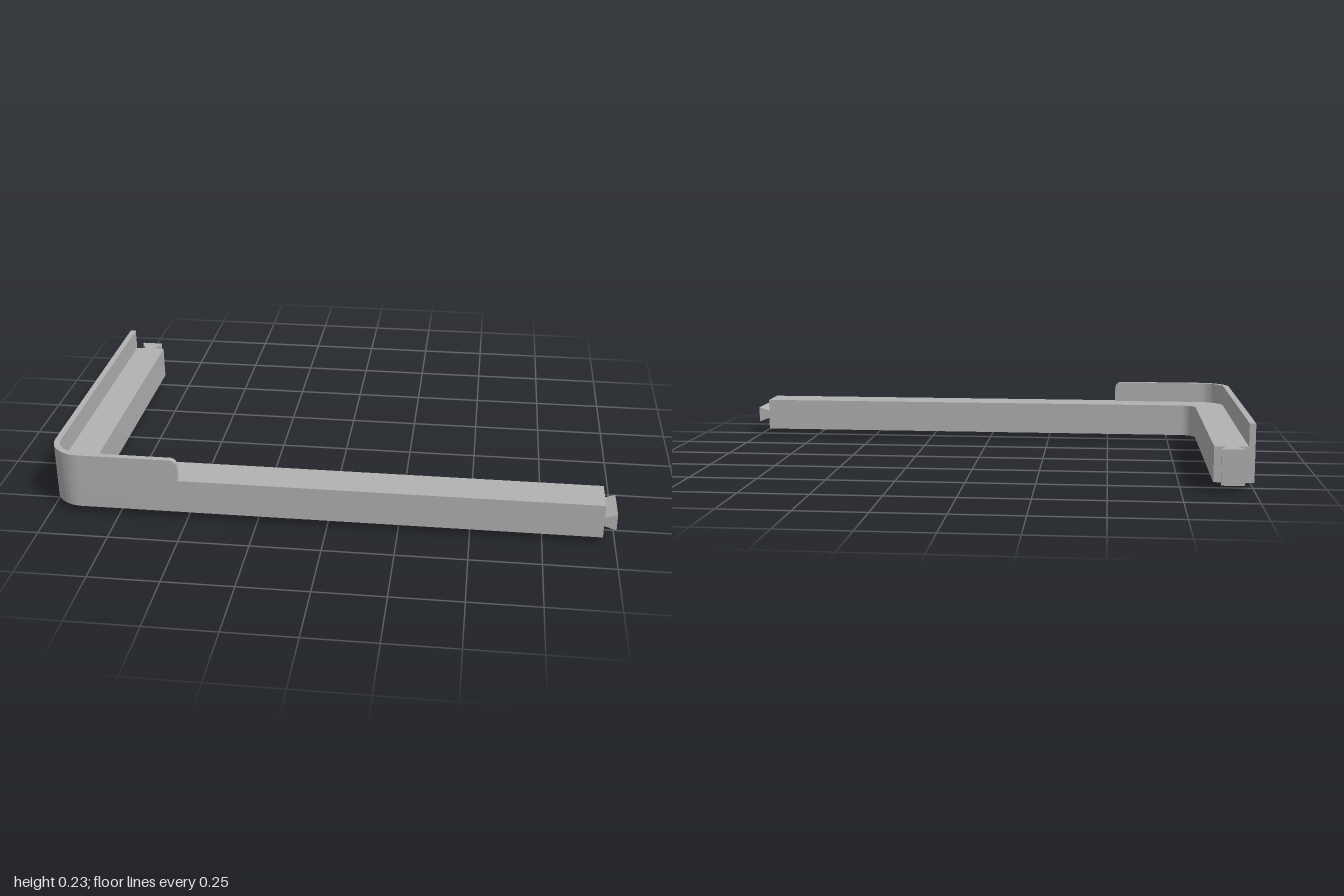
import * as THREE from 'three';
import { toCreasedNormals } from 'three/addons/utils/BufferGeometryUtils.js';

const BOTTOM = 0.027, TOP = 0.152, RIM = 0.232; // heights of rail and rim
const OUT_X = -1, OUT_Z = 0.597, BACK = -0.539, END = 0.957;
const WIDTH = 0.139, WALL = 0.022, RADIUS = 0.115;

export function createModel() {
  const model = new THREE.Group();
  const grey = new THREE.MeshStandardMaterial({ color: 0xb2b2b2 });
  grey.name = 'grey';

  const add = (name, geometry) => {
    const mesh = new THREE.Mesh(geometry, grey);
    mesh.name = name;
    model.add(mesh);
    return mesh;
  };
  const extrude = (shape, depth) => toCreasedNormals(
    new THREE.ExtrudeGeometry(shape, { depth, bevelEnabled: false, curveSegments: 16 }), 0.5);
  // Plan shapes are drawn in (x, -z) and raised from y0 to y1
  const raise = (shape, y0, y1) => extrude(shape, y1 - y0).rotateX(-Math.PI / 2).translate(0, y0, 0);
  const polygon = (points) => new THREE.Shape(points.map(([x, y]) => new THREE.Vector2(x, y)));

  // L-shaped band with rounded outer and inner corners
  const corner = (width, inner, endX) => {
    const s = new THREE.Shape();
    const ix = OUT_X + width, iy = -OUT_Z + width;
    s.moveTo(OUT_X, -BACK);
    s.lineTo(OUT_X, -OUT_Z + RADIUS);
    s.absarc(OUT_X + RADIUS, -OUT_Z + RADIUS, RADIUS, Math.PI, Math.PI * 1.5, false);
    s.lineTo(endX, -OUT_Z);
    s.lineTo(endX, iy);
    s.lineTo(ix + inner, iy);
    s.absarc(ix + inner, iy + inner, inner, Math.PI * 1.5, Math.PI, true);
    s.lineTo(ix, -BACK);
    s.closePath();
    return s;
  };

  add('rail', raise(corner(WIDTH, 0.056, END), BOTTOM, TOP));
  add('rimWall', raise(corner(WALL, RADIUS - WALL, -0.56), TOP, RIM));

  // Rounded front end of the rim
  const tip = new THREE.Shape();
  tip.moveTo(-0.56, TOP);
  tip.lineTo(-0.53, TOP);
  tip.lineTo(-0.53, RIM - 0.025);
  tip.absarc(-0.555, RIM - 0.025, 0.025, 0, Math.PI / 2, false);
  tip.lineTo(-0.56, RIM);
  tip.closePath();
  add('rimEnd', extrude(tip, WALL).translate(0, 0, OUT_Z - WALL));

  // Horizontal dovetail tongue across the long arm's end
  add('sideDovetail', extrude(polygon([
    [END, 0.073], [1, 0.058], [1, 0.119], [END, 0.105],
  ]), WIDTH).translate(0, 0, OUT_Z - WIDTH));

  // Upright dovetail tongue on the short arm's end
  add('backDovetail', raise(polygon([
    [-0.94, -BACK], [-0.904, -BACK], [-0.883, 0.586], [-0.883, 0.597],
    [-0.963, 0.597], [-0.963, 0.586],
  ]), BOTTOM, TOP));

  // Locating peg under the corner, with a small chamfer
  const peg = new THREE.LatheGeometry([
    [0, 0], [0.02, 0], [0.024, 0.005], [0.024, BOTTOM + 0.003],
  ].map(([r, y]) => new THREE.Vector2(r, y)), 32);
  add('peg', toCreasedNormals(peg, 0.5)).position.set(-0.925, 0, 0.521);

  return model;
}
